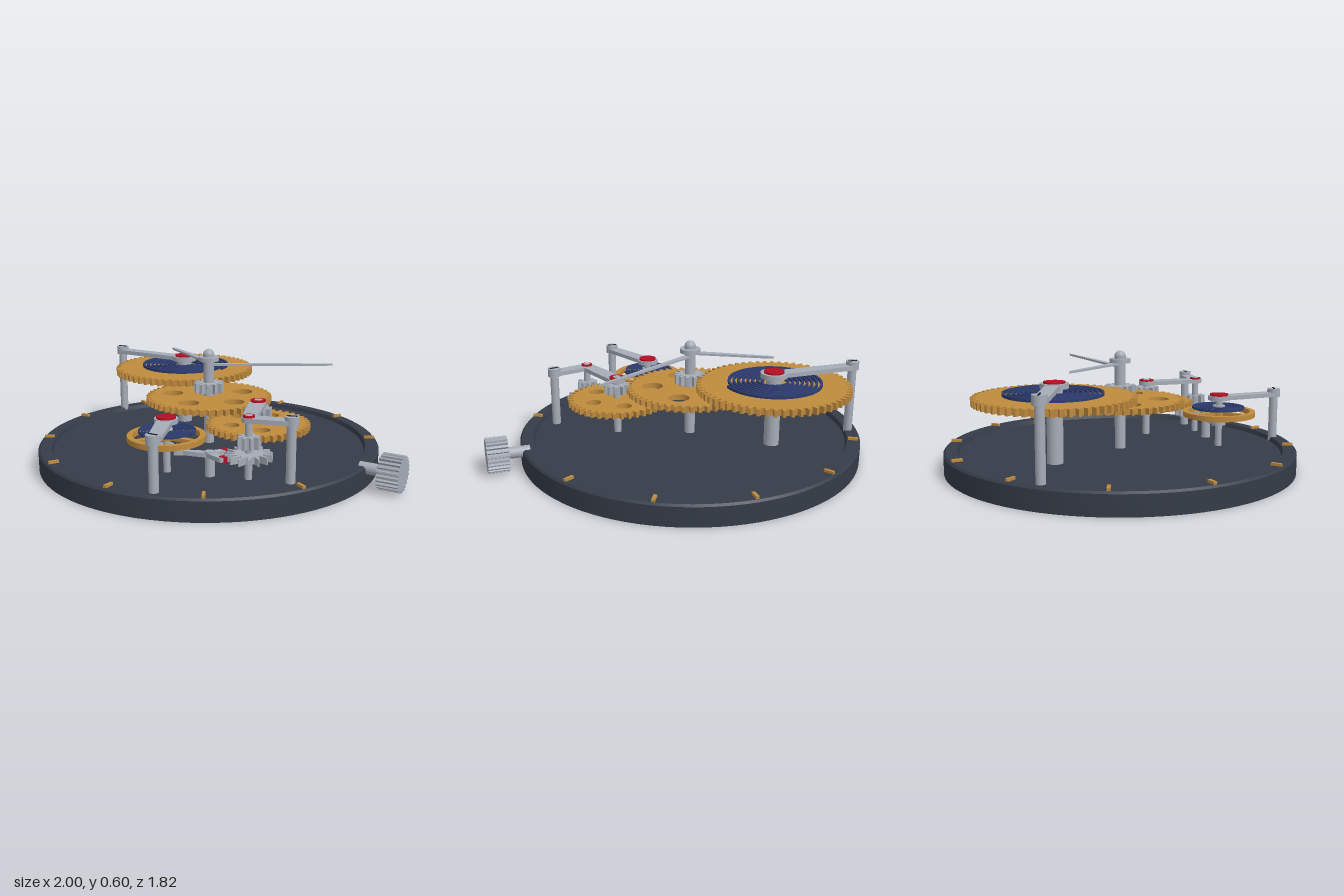
import * as THREE from 'three';
import { toCreasedNormals } from 'three/addons/utils/BufferGeometryUtils.js';

const mat = (name, color) => Object.assign(new THREE.MeshStandardMaterial({ color }), { name });

export function createModel() {
  const root = new THREE.Group();
  const slate = mat('slate', 0x353c48), steel = mat('steel', 0xa6acb7), brass = mat('brass', 0xc08b3e);
  const blue = mat('bluedSteel', 0x2d3c70), ruby = mat('ruby', 0xb30f22), dark = mat('slotDark', 0x23272e);

  const add = (name, geo, material) => {
    const m = new THREE.Mesh(geo, material);
    m.name = name;
    root.add(m);
    return m;
  };
  // vertical cylinder between two heights
  const rod = (name, x, z, r, y0, y1, material = steel) =>
    add(name, new THREE.CylinderGeometry(r, r, y1 - y0, 32).translate(x, (y0 + y1) / 2, z), material);
  // flat part cut from a shape drawn in x/z
  const slab = (name, shape, x, z, y0, y1, material, smooth = false) => {
    let g = new THREE.ExtrudeGeometry(shape, { depth: y1 - y0, bevelEnabled: false, curveSegments: 24 });
    if (smooth) g = toCreasedNormals(g, 0.6);
    return add(name, g.rotateX(Math.PI / 2).translate(x, y1, z), material);
  };
  const polar = (r, a) => new THREE.Vector2(r * Math.cos(a), r * Math.sin(a));
  const punch = (shape, x, y, r) => shape.holes.push(new THREE.Path().absarc(x, y, r, 0, Math.PI * 2, true));

  const gearShape = (teeth, r, depth) => {
    const pts = [], step = Math.PI * 2 / teeth;
    for (let i = 0; i < teeth; i++) {
      const a = i * step;
      pts.push(polar(r - depth, a - step * 0.32), polar(r, a - step * 0.16),
        polar(r, a + step * 0.16), polar(r - depth, a + step * 0.32));
    }
    return new THREE.Shape(pts);
  };
  const fiveHoles = (shape, dist, r, start) => {
    for (let i = 0; i < 5; i++) {
      const p = polar(dist, start + i * Math.PI * 0.4);
      punch(shape, p.x, p.y, r);
    }
    return shape;
  };
  const spiralShape = (r0, r1, turns, w) => {
    const outer = [], inner = [], n = turns * 48;
    for (let i = 0; i <= n; i++) {
      const r = r0 + (r1 - r0) * i / n, a = i / 48 * Math.PI * 2;
      outer.push(polar(r + w / 2, a));
      inner.unshift(polar(r - w / 2, a));
    }
    return new THREE.Shape(outer.concat(inner));
  };
  // arm with rounded ends, from [x, z] to [x, z]
  const arm = (name, [x1, z1], [x2, z2], r1, r2, y0, y1, material = steel) => {
    const a = Math.atan2(z2 - z1, x2 - x1), q = Math.PI / 2;
    const s = new THREE.Shape();
    s.absarc(x1, z1, r1, a + q, a + 3 * q, false);
    s.absarc(x2, z2, r2, a - q, a + q, false);
    return slab(name, s, 0, 0, y0, y1, material, true);
  };
  // bridge post with a slotted screw head
  const screwPost = (x, z, top, turn) => {
    rod('bridgePost', x, z, 0.023, 0.08, top - 0.03);
    rod('screwHead', x, z, 0.034, top - 0.045, top);
    add('screwSlot', new THREE.BoxGeometry(0.05, 0.004, 0.009).rotateY(turn).translate(x, top + 0.001, z), dark);
  };

  // base plate with raised rim
  const R = 0.91, cx = -0.09;
  const profile = [[0, 0], [R, 0], [R, 0.1], [R - 0.01, 0.11], [0.84, 0.11], [0.832, 0.088], [0, 0.088]];
  const base = new THREE.LatheGeometry(profile.map(p => new THREE.Vector2(...p)), 96);
  add('basePlate', toCreasedNormals(base, 0.5).translate(cx, 0, 0), slate);

  // hour markers, leaving out the one at the winding stem
  for (let i = 1; i < 12; i++) {
    const a = i * Math.PI / 6;
    add('hourMarker', new THREE.BoxGeometry(0.052, 0.02, 0.016).translate(0.872, 0.113, 0)
      .rotateY(a).translate(cx, 0, 0), brass);
  }

  // winding stem and crown
  add('windingStem', new THREE.CylinderGeometry(0.03, 0.03, 0.13, 24).rotateZ(Math.PI / 2)
    .translate(0.845, 0.095, 0), steel);
  add('crown', new THREE.ExtrudeGeometry(gearShape(24, 0.092, 0.012), { depth: 0.108, bevelEnabled: false })
    .rotateY(Math.PI / 2).translate(0.892, 0.095, 0), steel);

  // mainspring barrel
  const bx = -0.44, bz = -0.295;
  rod('barrelArbor', bx, bz, 0.04, 0.08, 0.46);
  slab('barrelWheel', gearShape(60, 0.398, 0.026), bx, bz, 0.385, 0.42, brass);
  slab('mainspring', spiralShape(0.06, 0.252, 8, 0.012), bx, bz, 0.424, 0.438, blue);
  arm('barrelBridge', [-0.895, bz], [bx, bz], 0.033, 0.035, 0.455, 0.478);
  rod('barrelBridgeHub', bx, bz, 0.07, 0.455, 0.48);
  rod('barrelJewel', bx, bz, 0.053, 0.475, 0.488, ruby);
  screwPost(-0.895, bz, 0.497, 0);

  // centre wheel, pinion and cap
  rod('centerArbor', cx, 0, 0.028, 0.08, 0.56);
  slab('centerWheel', fiveHoles(gearShape(50, 0.336, 0.025), 0.2, 0.055, Math.PI / 2), cx, 0, 0.32, 0.35, brass);
  slab('centerPinion', gearShape(12, 0.082, 0.024), cx, 0, 0.37, 0.422, steel);
  rod('handCap', cx, 0, 0.054, 0.538, 0.56);
  rod('handCapStem', cx, 0, 0.03, 0.56, 0.575);
  add('handCapDome', new THREE.SphereGeometry(0.03, 24, 10, 0, Math.PI * 2, 0, Math.PI / 2)
    .translate(cx, 0.572, 0), steel);

  // hands
  const hand = (name, angle, length, w, y) => {
    const s = new THREE.Shape([[0, -w * 0.6], [length * 0.3, -w / 2], [length * 0.94, -w * 0.27], [length, 0],
      [length * 0.94, w * 0.27], [length * 0.3, w / 2], [0, w * 0.6]].map(p => new THREE.Vector2(...p)));
    slab(name, s, 0, 0, y, y + 0.01, steel).rotation.y = angle;
    root.children[root.children.length - 1].position.x = cx;
  };
  hand('minuteHand', Math.PI / 6, 0.66, 0.03, 0.513);
  hand('hourHand', Math.PI * 5 / 6, 0.44, 0.036, 0.53);

  // third wheel
  const tx = 0.28, tz = 0.13;
  rod('thirdArbor', tx, tz, 0.02, 0.08, 0.402);
  slab('thirdWheel', fiveHoles(gearShape(40, 0.262, 0.025), 0.147, 0.04, -Math.PI / 2), tx, tz, 0.255, 0.285, brass);
  slab('thirdPinion', gearShape(10, 0.07, 0.024), tx, tz, 0.315, 0.36, steel);

  // escape wheel with slanted pointed teeth
  const ex = 0.38, ez = 0.41, escape = [];
  for (let i = 0; i < 15; i++) {
    const a = i * Math.PI * 2 / 15;
    escape.push(polar(0.07, a), polar(0.116, a + 0.2), polar(0.116, a + 0.25), polar(0.07, a + 0.25));
  }
  rod('escapeArbor', ex, ez, 0.018, 0.08, 0.402);
  slab('escapeWheel', new THREE.Shape(escape), ex, ez, 0.183, 0.218, steel);
  slab('escapePinion', gearShape(8, 0.055, 0.022), ex, ez, 0.24, 0.3, steel);

  // train bridge over the third and escape arbors
  arm('trainBridge', [tx, tz], [ex, ez], 0.042, 0.035, 0.37, 0.392);
  arm('trainBridgeFoot', [ex, ez], [0.575, 0.357], 0.035, 0.032, 0.37, 0.392);
  rod('thirdJewel', tx, tz, 0.039, 0.388, 0.4, ruby);
  rod('escapeJewel', ex, ez, 0.029, 0.388, 0.4, ruby);
  screwPost(0.575, 0.357, 0.41, 0.28);

  // pallet fork
  const pivot = [0.2, 0.465];
  rod('palletPost', ...pivot, 0.024, 0.08, 0.212);
  arm('palletLever', pivot, [0.08, 0.502], 0.022, 0.012, 0.184, 0.206);
  arm('palletArm', pivot, [0.285, 0.505], 0.024, 0.014, 0.184, 0.206);
  arm('palletArm', pivot, [0.238, 0.392], 0.024, 0.014, 0.184, 0.206);
  for (const s of [-1, 1]) arm('forkHorn', [0.08, 0.502], [0.045, 0.512 + s * 0.02], 0.01, 0.006, 0.184, 0.206);
  arm('palletStone', [0.285, 0.5], [0.303, 0.492], 0.01, 0.01, 0.18, 0.21, ruby);
  arm('palletStone', [0.232, 0.392], [0.258, 0.392], 0.01, 0.01, 0.18, 0.21, ruby);

  // balance wheel and hairspring
  const wx = -0.01, wz = 0.52;
  const rim = new THREE.Shape().absarc(0, 0, 0.19, 0, Math.PI * 2, false);
  punch(rim, 0, 0, 0.162);
  rod('balanceStaff', wx, wz, 0.018, 0.08, 0.34);
  rod('balanceRoller', wx, wz, 0.036, 0.2, 0.228);
  rod('balanceHub', wx, wz, 0.035, 0.25, 0.28, brass);
  slab('balanceRim', rim, wx, wz, 0.25, 0.277, brass, true);
  for (let i = 0; i < 3; i++) {
    add('balanceSpoke', new THREE.BoxGeometry(0.155, 0.018, 0.03).translate(0.09, 0.263, 0)
      .rotateY(i * Math.PI * 2 / 3).translate(wx, 0, wz), brass);
  }
  slab('hairspring', spiralShape(0.035, 0.14, 7, 0.009), wx, wz, 0.29, 0.3, blue);
  rod('hairspringCollet', wx, wz, 0.032, 0.285, 0.306);
  arm('balanceBridge', [wx, wz], [0.13, 0.825], 0.04, 0.032, 0.335, 0.357);
  rod('balanceBridgeHub', wx, wz, 0.058, 0.335, 0.358);
  rod('balanceJewel', wx, wz, 0.048, 0.353, 0.367, ruby);
  screwPost(0.13, 0.825, 0.377, 0);

  return root;
}
